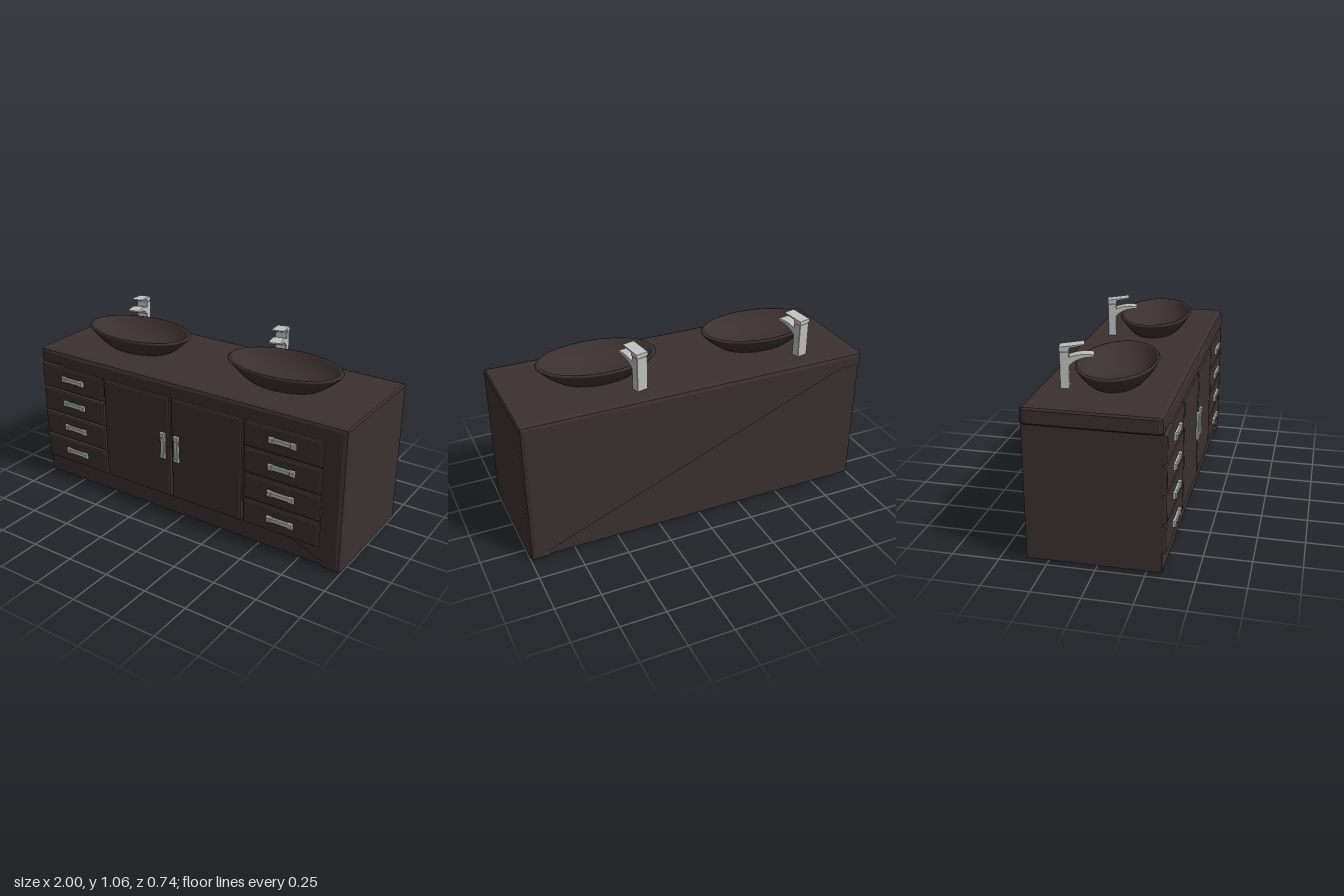
import * as THREE from 'three';

const wood = new THREE.MeshStandardMaterial({ color: 0x3b3031 });
wood.name = 'dark wood';
const metal = new THREE.MeshStandardMaterial({ color: 0xc0c0c0 });
metal.name = 'brushed metal';

function part(parent, name, geometry, material) {
  const mesh = new THREE.Mesh(geometry, material);
  mesh.name = name;
  parent.add(mesh);
  return mesh;
}

// Outline in x/y, extruded from z0 to z1 with bevelled edges
function bevelled(points, z0, z1, bevel, segments = 1) {
  const shape = new THREE.Shape(points.map(([x, y]) => new THREE.Vector2(x, y)));
  return new THREE.ExtrudeGeometry(shape, {
    depth: z1 - z0 - 2 * bevel, bevelEnabled: bevel > 0, bevelThickness: bevel,
    bevelSize: bevel, bevelOffset: -bevel, bevelSegments: segments,
  }).translate(0, 0, z0 + bevel);
}

const rect = (x0, x1, y0, y1) => [[x0, y0], [x1, y0], [x1, y1], [x0, y1]];

// Bar handle with a raised collar at each end
function makeHandle(x, y, length, vertical) {
  const g = new THREE.Group();
  g.name = 'handle';
  const h = length / 2;
  part(g, 'handleBar', bevelled(rect(-h + 0.01, h - 0.01, -0.014, 0.014), 0.345, 0.368, 0.004), metal);
  for (const s of [-1, 1]) {
    const c = s * (h - 0.015);
    part(g, 'handleEnd', bevelled(rect(c - 0.015, c + 0.015, -0.017, 0.017), 0.345, 0.371, 0.005), metal);
  }
  if (vertical) g.rotation.z = Math.PI / 2;
  g.position.set(x, y, 0);
  return g;
}

// Oval vessel basin: outer wall, bevelled rim, hollow inside
function makeBasin(x) {
  const profile = [
    [0, 0], [0.205, 0], [0.255, 0.032], [0.3, 0.07], [0.33, 0.1], [0.337, 0.107],
    [0.329, 0.114], [0.316, 0.114], [0.308, 0.105], [0.27, 0.07], [0.22, 0.045],
    [0.15, 0.024], [0.08, 0.014], [0, 0.012],
  ].map(([r, y]) => new THREE.Vector2(r, y));
  const geo = new THREE.LatheGeometry(profile, 24).scale(1, 1, 0.612);
  const basin = new THREE.Mesh(geo, wood);
  basin.name = 'basin';
  basin.position.set(x, 0.826, 0.009);
  return basin;
}

// Faucet profiles drawn forward (x) and up (y), then turned to face +z
function makeFaucet(x) {
  const g = new THREE.Group();
  g.name = 'faucet';
  const add = (name, geo) => part(g, name, geo.rotateY(-Math.PI / 2), metal);
  add('faucetColumn', bevelled(rect(-0.024, 0.024, 0.82, 1.017), -0.033, 0.033, 0.002));
  add('faucetNeck', bevelled(rect(-0.021, 0.021, 1.01, 1.026), -0.03, 0.03, 0));
  add('faucetLever', bevelled(
    [[-0.025, 1.022], [0.024, 1.022], [0.026, 1.038], [0.1, 1.051], [0.1, 1.056], [-0.025, 1.042]],
    -0.035, 0.035, 0));
  const spout = new THREE.Shape();
  spout.moveTo(0.015, 0.94);
  spout.lineTo(0.024, 0.947);
  spout.quadraticCurveTo(0.065, 0.99, 0.145, 0.991);
  spout.lineTo(0.147, 1.001);
  spout.quadraticCurveTo(0.08, 1.012, 0.024, 0.989);
  spout.lineTo(0.015, 0.985);
  add('faucetSpout', new THREE.ExtrudeGeometry(spout, { depth: 0.066, bevelEnabled: false, curveSegments: 8 })
    .translate(0, 0, -0.033));
  g.rotation.y = 0.23;
  g.position.set(x, 0, -0.227);
  return g;
}

export function createModel() {
  const model = new THREE.Group();
  model.name = 'doubleVanity';

  // Cabinet body, with the worktop turning down into the side panel
  part(model, 'cabinetBody', bevelled(rect(-0.985, 0.92, 0.02, 0.78), -0.356, 0.332, 0), wood);
  part(model, 'worktopAndSidePanel', bevelled([
    [-1, 0.75], [-0.992, 0.742], [0.885, 0.742], [0.885, 0.008], [0.893, 0],
    [0.992, 0], [1, 0.008], [1, 0.818], [0.992, 0.828], [-0.992, 0.828], [-1, 0.818],
  ], -0.364, 0.342, 0.027, 2), wood);

  // Drawer stacks
  for (const [x0, x1, hx] of [[-0.985, -0.526, -0.748], [0.42, 0.878, 0.65]]) {
    for (let i = 0; i < 4; i++) {
      const y = 0.128 + i * 0.155;
      part(model, 'drawerFront', bevelled(rect(x0, x1, y, y + 0.147), 0.32, 0.354, 0.012, 2), wood);
      model.add(makeHandle(hx, y + 0.077, 0.158, false));
    }
  }

  // Pair of doors
  for (const [x0, x1, hx] of [[-0.518, -0.058, -0.101], [-0.047, 0.409, -0.01]]) {
    part(model, 'door', bevelled(rect(x0, x1, 0.128, 0.74), 0.32, 0.354, 0.012, 2), wood);
    model.add(makeHandle(hx, 0.443, 0.158, true));
  }

  // Basins and faucets
  for (const x of [-0.514, 0.456]) model.add(makeBasin(x), makeFaucet(x - 0.153));

  return model;
}
